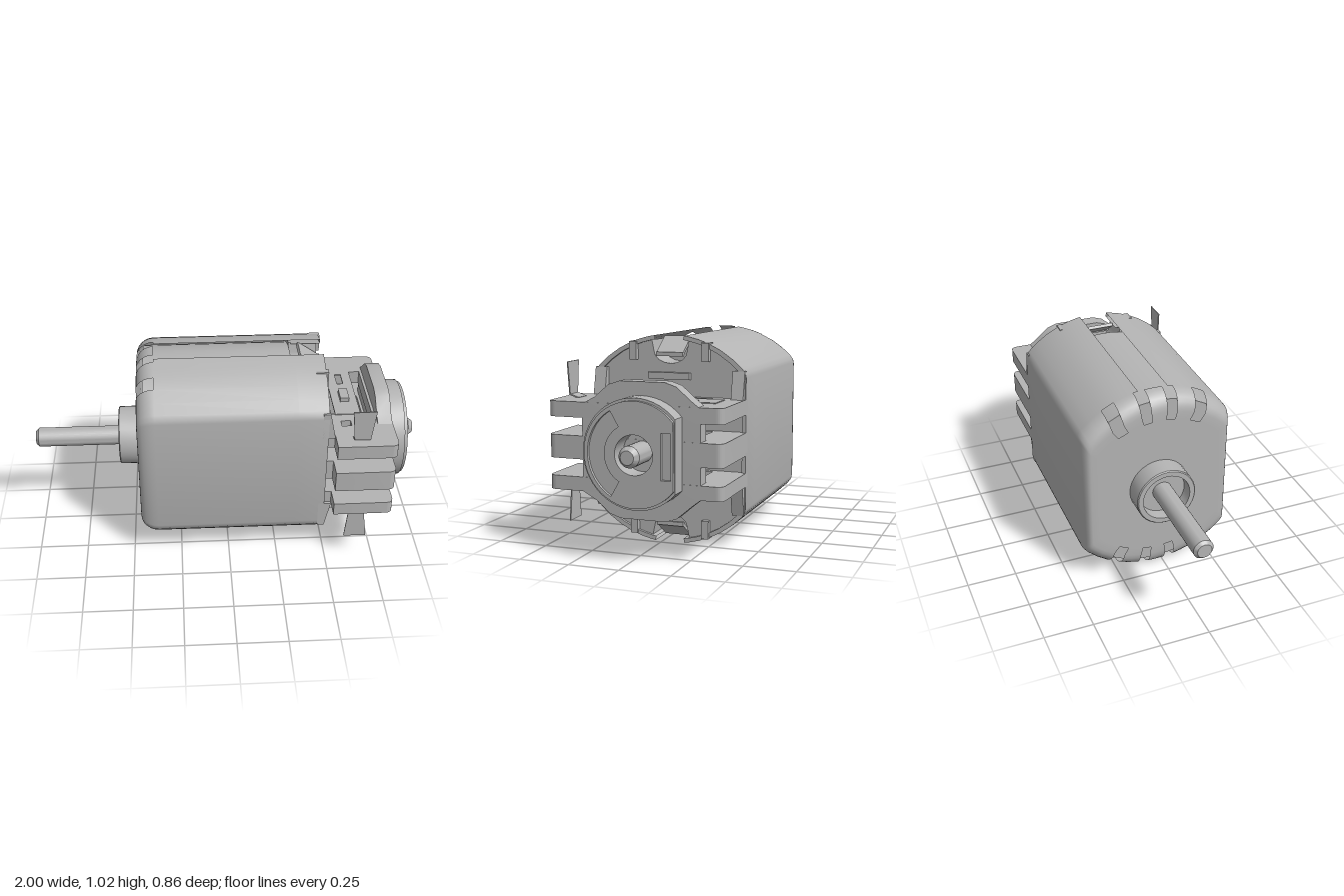
import * as THREE from 'three';
import { toCreasedNormals } from 'three/addons/utils/BufferGeometryUtils.js';

export function createModel() {
  const metal = new THREE.MeshStandardMaterial({ color: 0xb4b4b4, side: THREE.DoubleSide });
  metal.name = 'grey metal';

  // Everything is placed around the shaft axis (local x)
  const motor = new THREE.Group();
  motor.name = 'motor';
  motor.position.set(0, 0.51, -0.045);
  const add = (name, geo, parent = motor) => {
    const m = new THREE.Mesh(geo, metal);
    m.name = name;
    parent.add(m);
    return m;
  };
  const poly = (pts) => new THREE.Shape(pts.map(([a, b]) => new THREE.Vector2(a, b)));
  const rect = (a0, a1, b0, b1) => poly([[a0, b0], [a1, b0], [a1, b1], [a0, b1]]);
  const circle = (r) => new THREE.Shape().absarc(0, 0, r, 0, Math.PI * 2);
  const extrude = (shape, depth, holes = []) => {
    shape.holes.push(...holes);
    const g = new THREE.ExtrudeGeometry(shape, { depth, bevelEnabled: false, curveSegments: 20 });
    return toCreasedNormals(g, 0.5);
  };
  // Section drawn in (-z, y), extruded along x
  const alongX = (shape, x0, x1, holes) =>
    extrude(shape, x1 - x0, holes).rotateY(Math.PI / 2).translate(x0, 0, 0);
  // Plan drawn in (x, -z), extruded upwards
  const alongY = (shape, y0, y1, holes) =>
    extrude(shape, y1 - y0, holes).rotateX(-Math.PI / 2).translate(0, y0, 0);
  const box = (x0, x1, y0, y1, z0, z1) =>
    new THREE.BoxGeometry(x1 - x0, y1 - y0, z1 - z0)
      .translate((x0 + x1) / 2, (y0 + y1) / 2, (z0 + z1) / 2);
  const turned = (pts) => toCreasedNormals(
    new THREE.LatheGeometry(pts.map(([x, r]) => new THREE.Vector2(r, x)), 32)
      .rotateZ(-Math.PI / 2), 0.5);

  // Can section as [z, y]: flat sides with arched top and bottom
  const R = 0.51;
  const zs = [0.365, 0.32, 0.26, 0.2, 0.15, 0.1, 0.075, 0.045];
  const half = [[0.385, 0.315], [0.381, 0.335], ...zs.map((z) => [z, Math.sqrt(R * R - z * z)])];
  const top = [...half, [0, R], ...half.map(([z, y]) => [-z, y]).reverse()];
  const profile = [...top, ...top.map(([z, y]) => [-z, -y])];

  // Lofted shell: end face, rounded corner, wall, then inner lip
  const rings = [[-0.455, 0.2, 0.2], [-0.455, 0.74, 0.8]];
  for (let i = 0; i <= 6; i++) {
    const a = (i / 6) * Math.PI / 2;
    rings.push([-0.365 - 0.09 * Math.cos(a) ** 1, 1 - 0.18 * (1 - Math.sin(a)), 1 - 0.1 * (1 - Math.sin(a))]);
  }
  rings.push([0.34, 1, 1], [0.49, 1, 1], [0.49, 0.96, 0.95], [0.34, 0.96, 0.95]);
  const pos = [], index = [], n = profile.length;
  rings.forEach(([x, sy, sz]) => profile.forEach(([z, y]) => pos.push(x, y * sy, z * sz)));
  for (let r = 0; r + 1 < rings.length; r++) {
    for (let i = 0; i < n; i++) {
      const j = (i + 1) % n;
      const z = Math.abs(profile[i][0] + profile[j][0]) / 2;
      const arched = Math.abs(profile[i][1] + profile[j][1]) / 2 > 0.4;
      const vent = r >= 1 && r <= 7 && ((z > 0.2 && z < 0.26) || (z > 0.045 && z < 0.1));
      const crimp = r >= 8 && z < 0.075;
      if (arched && (vent || crimp)) continue;
      const a = r * n + i, b = r * n + j;
      index.push(a, a + n, b, b, a + n, b + n);
    }
  }
  const shell = new THREE.BufferGeometry();
  shell.setAttribute('position', new THREE.Float32BufferAttribute(pos, 3));
  shell.setIndex(index);
  add('can', toCreasedNormals(shell, 0.6));

  // Core seen through the vents
  add('core', alongX(poly(profile.map(([z, y]) => [-z * 0.94, y * 0.92])), -0.42, 0.33));

  // End cap with a round notch above and below
  const notch = [];
  for (let i = 0; i <= 8; i++) {
    const a = (i / 8) * Math.PI;
    notch.push([0.085 * Math.cos(a), 0.43 - 0.06 * Math.sin(a)]);
  }
  const capTop = [...half.filter(([z]) => z > 0.09).map(([z, y]) => [z * 0.95, y * 0.96]), ...notch,
    ...half.filter(([z]) => z > 0.09).map(([z, y]) => [-z * 0.95, y * 0.96]).reverse()];
  add('endCap', alongX(poly([...capTop, ...capTop.map(([a, b]) => [-a, -b])]), 0.33, 0.475));

  // Turned parts
  add('shaft', turned([[-1, 0], [-1, 0.036], [-0.985, 0.05], [0.975, 0.05], [1, 0.032], [1, 0]]));
  add('frontBoss', turned([[-0.45, 0.152], [-0.555, 0.152], [-0.56, 0.147], [-0.56, 0.122],
    [-0.5, 0.118], [-0.5, 0.03]]));

  // Three frames that carry the rear bearing
  const frame = () => {
    const s = new THREE.Shape();
    s.moveTo(0.46, -0.37);
    s.lineTo(0.525, -0.37);
    s.lineTo(0.525, -0.475);
    s.lineTo(0.79, -0.475);
    s.quadraticCurveTo(0.828, -0.475, 0.828, -0.435);
    s.lineTo(0.828, 0.35);
    s.quadraticCurveTo(0.828, 0.385, 0.79, 0.385);
    s.lineTo(0.46, 0.385);
    return s;
  };
  const pins = () => [rect(0.57, 0.62, -0.29, -0.245), rect(0.66, 0.71, -0.29, -0.245)];
  const gap = () => rect(0.5, 0.738, -0.18, 0.225);
  add('middleFrame', alongY(frame(), -0.055, 0.055, [gap()]));
  add('upperFrame', alongY(frame(), 0.14, 0.213, [gap(), ...pins()]));
  add('lowerFrame', alongY(frame(), -0.205, -0.138, [gap(), ...pins()]));

  // Bearing holder plate
  const holder = [[0.28, 0.205], [0.235, 0.24], [0.165, 0.3], [0.11, 0.318], [-0.11, 0.318],
    [-0.165, 0.3], [-0.235, 0.24], [-0.3, 0.205]];
  add('bearingHolder', alongX(poly([...holder, ...holder.map(([a, b]) => [a, -b]).reverse()]), 0.752, 0.826));

  // Bearing disc with one flat side and a shallow pattern in its face
  const disc = (r, flat) => {
    const a = Math.acos(flat / r);
    return new THREE.Shape().absarc(0, 0, r, a, Math.PI * 2 - a);
  };
  add('bearingDisc', alongX(disc(0.255, 0.192), 0.82, 0.912, [circle(0.092)]));
  const A = Math.PI * 2 / 3;
  const sector = new THREE.Shape();
  sector.absarc(0, 0, 0.225, A, 2 * A, false);
  sector.absarc(0, 0, 0.143, 2 * A, A, true);
  add('bearingFace', alongX(disc(0.243, 0.188), 0.912, 0.928,
    [circle(0.092), sector, rect(0.13, 0.177, -0.105, 0.105)]));

  // Details repeated above and below the shaft
  for (const s of [1, -1]) {
    const side = new THREE.Group();
    side.name = s > 0 ? 'upperDetails' : 'lowerDetails';
    side.scale.y = s;
    motor.add(side);

    // Brush leaf spring lying on the frame
    add('brushLeaf', alongY(rect(0.55, 0.68, -0.19, 0.3), 0.209, 0.217,
      [rect(0.6, 0.632, 0.1, 0.195)]), side);
    add('brush', box(0.592, 0.638, 0.19, 0.24, -0.015, 0.075), side);

    // Bent terminal with a flared end
    const blade = poly([[0.61, 0.225], [0.69, 0.225], [0.71, 0.385], [0.595, 0.385]]);
    add('terminalBlade', extrude(blade, 0.006).translate(0, 0, 0.427), side);
    const bend = add('terminalBend', box(0.61, 0.69, -0.003, 0.003, -0.026, 0.026), side);
    bend.position.set(0, 0.22, 0.408);
    bend.rotation.x = -0.3;

    // Crimp tab bent into the cap notch
    add('crimpTab', alongX(rect(-0.068, 0.068, 0.405, 0.425), 0.47, 0.488), side);
    const tab = add('crimpTabSlope', box(-0.068, 0.068, -0.008, 0.008, -0.068, 0.068), side);
    tab.position.set(0.427, 0.452, 0);
    tab.rotation.z = -0.6;

    // Ramps and lugs on the cap face
    const ramp = poly([[0.46, 0.345], [0.495, 0.345], [0.525, 0.205], [0.46, 0.205]]);
    add('capRampLeft', extrude(ramp, 0.06).translate(0, 0, 0.325), side);
    add('capRampRight', extrude(ramp.clone(), 0.06).translate(0, 0, -0.38), side);
    add('capRib', box(0.46, 0.5, 0.295, 0.328, -0.105, 0.105), side);
    for (const z of [0.185, -0.185]) {
      add('capLug', box(0.44, 0.502, 0.385, 0.474, z - 0.018, z + 0.018), side);
    }
  }

  const model = new THREE.Group();
  model.name = 'electricMotor';
  model.add(motor);
  return model;
}
